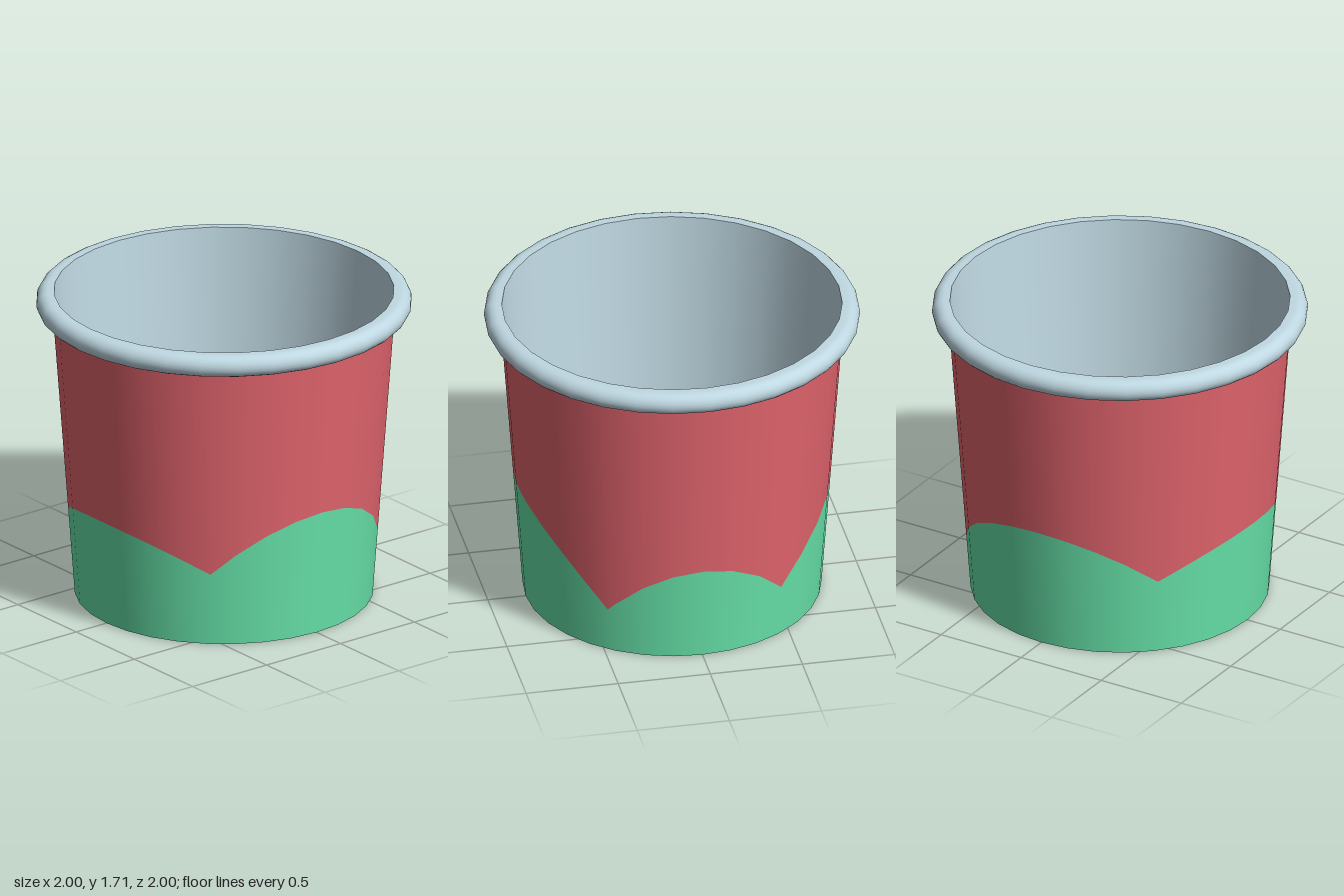
import * as THREE from 'three';

const SIDES = 32;
const R_BASE = 0.795, R_TOP = 0.912, WALL_TOP = 1.6;
const RIM_Y = 1.65, RIM_R = 0.06, RIM_CENTRE = 0.94;
const INNER_TOP = 0.905, INNER_FLOOR = 0.765, FLOOR_Y = 0.02;

// The four scallops of the green band: centre angle, peak height, steepness (per degree squared)
const LOBES = [
  [0, 0.595, 0.86e-4],
  [90, 0.702, 1.58e-4],
  [180, 0.535, 2.1e-4],
  [270, 0.68, 1.2e-4],
];
const lobeHeight = ([centre, peak, k], deg) => {
  const d = ((deg - centre + 540) % 360) - 180;
  return peak - k * d * d;
};
const bandHeight = (deg) => Math.max(...LOBES.map((lobe) => lobeHeight(lobe, deg)));

// Angle at which two neighbouring scallops meet
function valley(i) {
  let lo = i * 90, hi = lo + 90;
  for (let n = 0; n < 30; n++) {
    const mid = (lo + hi) / 2;
    if (lobeHeight(LOBES[i], mid) > lobeHeight(LOBES[(i + 1) % 4], mid)) lo = mid;
    else hi = mid;
  }
  return lo;
}

// Strip of tapered wall between two height functions of the angle
function wallStrip(angles, bottom, top) {
  const pos = [], nor = [], idx = [];
  const step = 360 / SIDES;
  const tilt = (R_TOP - R_BASE) / WALL_TOP;
  angles.forEach((deg, i) => {
    const a = THREE.MathUtils.degToRad(deg);
    // keep extra columns on the flat sides of the polygon
    const off = THREE.MathUtils.degToRad((deg % step) - step / 2);
    const flat = Math.cos(Math.PI / SIDES) / Math.cos(off);
    const n = new THREE.Vector3(Math.sin(a), -tilt, Math.cos(a)).normalize();
    for (const y of [bottom(deg), top(deg)]) {
      const r = (R_BASE + tilt * y) * flat;
      pos.push(r * Math.sin(a), y, r * Math.cos(a));
      nor.push(n.x, n.y, n.z);
    }
    if (i > 0) {
      const b = 2 * i;
      idx.push(b - 2, b, b + 1, b - 2, b + 1, b - 1);
    }
  });
  const g = new THREE.BufferGeometry();
  g.setAttribute('position', new THREE.Float32BufferAttribute(pos, 3));
  g.setAttribute('normal', new THREE.Float32BufferAttribute(nor, 3));
  g.setIndex(idx);
  return g;
}

const lathe = (points) =>
  new THREE.LatheGeometry(points.map(([x, y]) => new THREE.Vector2(x, y)), SIDES);

export function createModel() {
  const red = new THREE.MeshStandardMaterial({ name: 'red', color: 0xe3656e });
  const green = new THREE.MeshStandardMaterial({ name: 'green', color: 0x68e4ab });
  const paleBlue = new THREE.MeshStandardMaterial({ name: 'paleBlue', color: 0xbfd8e2 });

  const cup = new THREE.Group();
  cup.name = 'cup';
  const add = (name, geometry, material) => {
    const mesh = new THREE.Mesh(geometry, material);
    mesh.name = name;
    cup.add(mesh);
  };

  // Outer wall, split along the scalloped line
  const angles = Array.from({ length: SIDES + 1 }, (_, i) => (i * 360) / SIDES);
  for (let i = 0; i < 4; i++) angles.push(valley(i));
  angles.sort((a, b) => a - b);
  add('lowerBand', wallStrip(angles, () => 0, bandHeight), green);
  add('upperWall', wallStrip(angles, bandHeight, () => WALL_TOP), red);
  add('base', lathe([[0, 0], [R_BASE, 0]]), red);

  // Rolled rim: flat underside, half-round edge, flat top
  const rim = [[INNER_TOP - 0.005, RIM_Y - RIM_R]];
  for (let i = 0; i <= 10; i++) {
    const a = -Math.PI / 2 + (Math.PI * i) / 10;
    rim.push([RIM_CENTRE + RIM_R * Math.cos(a), RIM_Y + RIM_R * Math.sin(a)]);
  }
  rim.push([INNER_TOP, RIM_Y + RIM_R]);
  add('rim', lathe(rim), paleBlue);

  // Inside of the cup
  add('innerWall', lathe([[INNER_TOP, RIM_Y + RIM_R], [INNER_FLOOR, FLOOR_Y]]), paleBlue);
  add('innerFloor', lathe([[INNER_FLOOR, FLOOR_Y], [0, FLOOR_Y]]), paleBlue);

  return cup;
}
